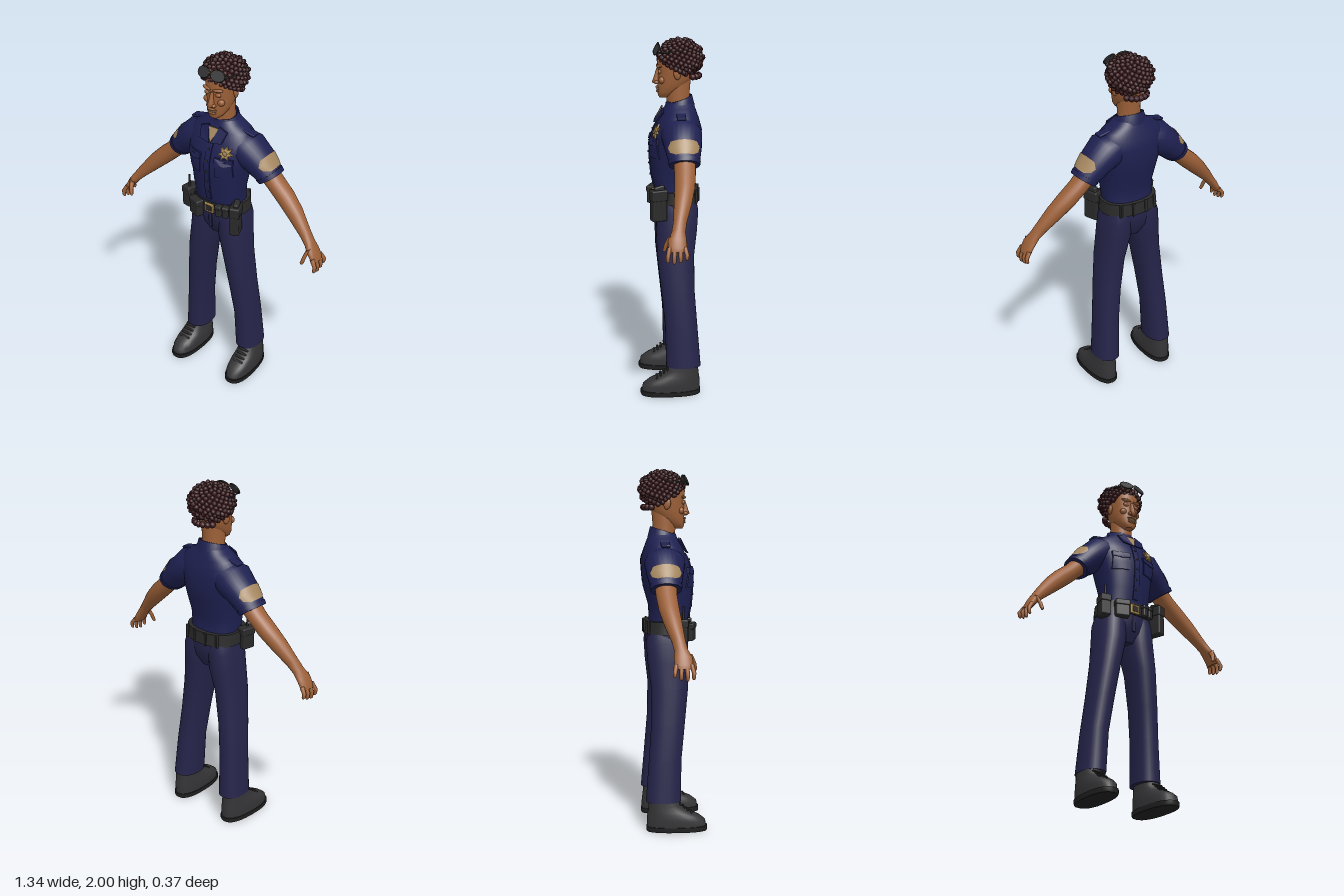
import * as THREE from 'three';
import { mergeGeometries } from 'three/addons/utils/BufferGeometryUtils.js';
import { RoundedBoxGeometry } from 'three/addons/geometries/RoundedBoxGeometry.js';

const mat = (name, color, side = THREE.FrontSide) => {
  const m = new THREE.MeshStandardMaterial({ color, side });
  m.name = name;
  return m;
};

// Ring: [x, y, z, halfWidth, halfDepth, tilt in degrees, half arc for open strips].
// Rings run from bottom to top; power below 1 makes them squarer.
function loft(rings, power = 1, n = 28, caps = true) {
  const pos = [], idx = [];
  const open = rings[0][6] !== undefined;
  const cols = open ? n + 1 : n;
  const bend = (v) => Math.sign(v) * Math.abs(v) ** power;
  for (const [x, y, z, a, b, tilt = 0, arc] of rings) {
    const t = tilt * Math.PI / 180;
    for (let j = 0; j < cols; j++) {
      const th = open ? (2 * j / n - 1) * arc : 2 * Math.PI * j / n;
      const u = a * bend(Math.cos(th));
      pos.push(x + u * Math.cos(t), y + u * Math.sin(t), z + b * bend(Math.sin(th)));
    }
  }
  for (let i = 0; i < rings.length - 1; i++) for (let j = 0; j < n; j++) {
    const p = i * cols + j, q = i * cols + (j + 1) % cols;
    idx.push(p, p + cols, q, q, p + cols, q + cols);
  }
  if (caps && !open) for (const i of [0, rings.length - 1]) {
    const base = pos.length / 3;
    pos.push(...pos.slice(i * n * 3, (i + 1) * n * 3), ...rings[i].slice(0, 3));
    for (let j = 0; j < n; j++) {
      const p = base + j, q = base + (j + 1) % n;
      if (i) idx.push(p, base + n, q); else idx.push(p, q, base + n);
    }
  }
  const g = new THREE.BufferGeometry();
  g.setAttribute('position', new THREE.Float32BufferAttribute(pos, 3));
  g.setIndex(idx);
  g.computeVertexNormals();
  return g;
}

const TORSO = [
  [0, 1.11, -0.025, 0.148, 0.117], [0, 1.18, -0.015, 0.145, 0.11], [0, 1.25, -0.01, 0.15, 0.12],
  [0, 1.35, -0.02, 0.165, 0.138], [0, 1.42, -0.025, 0.182, 0.143], [0, 1.5, -0.038, 0.2, 0.133],
  [0, 1.55, -0.045, 0.195, 0.112], [0, 1.59, -0.048, 0.163, 0.095], [0, 1.62, -0.05, 0.11, 0.082],
  [0, 1.65, -0.05, 0.075, 0.07]];
const TORSO_POWER = 0.85;

// Depth of the shirt front at a point, used to lay details on the chest.
function chestZ(x, y) {
  let i = 0;
  while (i < TORSO.length - 2 && y > TORSO[i + 1][1]) i++;
  const k = (y - TORSO[i][1]) / (TORSO[i + 1][1] - TORSO[i][1]);
  const at = (c) => THREE.MathUtils.lerp(TORSO[i][c], TORSO[i + 1][c], k);
  const r = Math.min(1, Math.abs(x) / at(3));
  return at(2) + at(4) * (1 - r ** (2 / TORSO_POWER)) ** (TORSO_POWER / 2);
}
function onChest(g, lift = 0) {
  const p = g.attributes.position;
  for (let i = 0; i < p.count; i++) p.setZ(i, p.getZ(i) + lift + chestZ(p.getX(i), p.getY(i)));
  g.computeVertexNormals();
  return g;
}
const plate = (pts, depth) => new THREE.ExtrudeGeometry(
  new THREE.Shape(pts.map((p) => new THREE.Vector2(...p))), { depth, bevelEnabled: false });

export function createModel() {
  const model = new THREE.Group();
  model.name = 'officer';
  const skin = mat('skin', 0x9c6038), hair = mat('hair', 0x3a1a1d);
  const shirt = mat('shirt navy', 0x1e2050), pants = mat('trouser navy', 0x25244a);
  const shoe = mat('shoe grey', 0x343436), leather = mat('black leather', 0x2a2a2b);
  const sole = mat('sole black', 0x202021);
  const tan = mat('patch tan', 0xa5875f, THREE.DoubleSide), gold = mat('badge gold', 0xa8874a);

  const add = (name, g, m, x = 0, y = 0, z = 0, rx = 0, ry = 0, rz = 0) => {
    const mesh = new THREE.Mesh(g, m);
    mesh.name = name;
    mesh.position.set(x, y, z);
    mesh.rotation.set(rx, ry, rz);
    model.add(mesh);
    return mesh;
  };
  // Adds a part on the left (+x) and its reflection on the right.
  const pair = (name, ...args) => {
    const left = add(name + 'Left', ...args);
    left.updateMatrix();
    let g = left.geometry.clone().applyMatrix4(left.matrix).scale(-1, 1, 1);
    if (g.index) g = g.toNonIndexed();
    for (const key of Object.keys(g.attributes)) {
      const a = g.attributes[key], s = a.itemSize;
      for (let i = 0; i < a.count; i += 3) for (let c = 0; c < s; c++) {
        const t = a.array[(i + 1) * s + c];
        a.array[(i + 1) * s + c] = a.array[(i + 2) * s + c];
        a.array[(i + 2) * s + c] = t;
      }
    }
    add(name + 'Right', g, left.material);
  };
  const box = (w, h, d, r = 0.008) => new RoundedBoxGeometry(w, h, d, 2, r);
  const ball = (x, y, z) => new THREE.SphereGeometry(1, 14, 10).scale(x, y, z);

  // Shirt body, sleeves and sleeve patches
  add('shirt', loft(TORSO, TORSO_POWER, 40), shirt);
  const cuff = [0.303, 1.357, -0.057, 0.066, 0.08, 35.5], upper = [0.225, 1.435, -0.055, 0.085, 0.1, 45];
  pair('sleeve', loft([cuff, upper, [0.15, 1.49, -0.05, 0.102, 0.112, 55], [0.08, 1.52, -0.05, 0.07, 0.09, 70]]), shirt);
  const onSleeve = (t, grow, ...arc) => [...cuff.map((v, i) =>
    THREE.MathUtils.lerp(v, upper[i], t) + (i === 3 || i === 4 ? grow : 0)), ...arc];
  pair('sleeveHem', loft([onSleeve(0, 0.004), onSleeve(0.22, 0.004)]), shirt);
  pair('sleevePatch', loft([onSleeve(0.32, 0.004, 0.55), onSleeve(0.5, 0.004, 0.95), onSleeve(0.75, 0.004, 1.05),
    onSleeve(0.98, 0.004, 0.75)]), tan);
  pair('epaulette', box(0.1, 0.014, 0.05, 0.005), shirt, 0.155, 1.594, -0.048, 0, 0, -0.2);

  // Collar, undershirt, placket, pockets and badge
  const collar = loft([[0, 1.6, -0.045, 0.098, 0.088], [0, 1.665, -0.045, 0.08, 0.072], [0, 1.665, -0.045, 0.07, 0.064],
    [0, 1.6, -0.045, 0.08, 0.07]], 1, 28, false);
  const cp = collar.attributes.position;
  for (let i = 0; i < cp.count; i++) cp.setY(i, cp.getY(i) - (cp.getZ(i) + 0.05) * 0.3);
  collar.computeVertexNormals();
  add('collar', collar, shirt);
  add('undershirt', onChest(plate([[0, 1.535], [0.034, 1.61], [-0.034, 1.61]], 0.006), 0.012), tan);
  pair('collarFlap', onChest(plate([[0.006, 1.535], [0.07, 1.545], [0.085, 1.6], [0.034, 1.62]], 0.009), 0.012), shirt);
  const panel = (w, h, d, x, y) => onChest(new THREE.BoxGeometry(w, h, d, 6, 4, 1).translate(x, y, 0));
  add('placket', onChest(new THREE.BoxGeometry(0.034, 0.35, 0.012, 2, 12, 1).translate(0, 1.36, 0)), shirt);
  for (let i = 0; i < 5; i++) {
    const y = 1.24 + i * 0.065;
    add('button', ball(0.006, 0.006, 0.004), leather, 0, y, chestZ(0, y) + 0.007);
  }
  pair('chestPocket', panel(0.092, 0.095, 0.012, 0.094, 1.4), shirt);
  pair('pocketFlap', onChest(plate([[0.045, 1.465], [0.045, 1.435], [0.094, 1.422], [0.143, 1.435], [0.143, 1.465]], 0.013)), shirt);
  const star = Array.from({ length: 14 }, (_, i) => {
    const r = i % 2 ? 0.02 : 0.04, t = i * Math.PI / 7;
    return [0.1 + r * Math.sin(t), 1.5 + r * Math.cos(t)];
  });
  add('starBadge', onChest(plate(star, 0.009), 0.002), gold);
  add('badgeCentre', ball(0.014, 0.014, 0.006), tan, 0.1, 1.5, chestZ(0.1, 1.5) + 0.011);

  // Arms, hands, fingers and thumbs
  pair('arm', loft([[0.645, 0.982, 0, 0.016, 0.042, 15], [0.637, 1.0, 0, 0.02, 0.048, 20], [0.614, 1.037, 0, 0.024, 0.048, 35],
    [0.587, 1.072, -0.008, 0.027, 0.036, 42], [0.55, 1.115, -0.018, 0.034, 0.036, 45], [0.475, 1.195, -0.038, 0.046, 0.048, 45],
    [0.405, 1.262, -0.052, 0.051, 0.055, 43], [0.335, 1.325, -0.058, 0.05, 0.057, 40], [0.27, 1.39, -0.058, 0.053, 0.06, 40]], 1, 20), skin);
  for (let i = 0; i < 4; i++) {
    const z = -0.038 + i * 0.026, drop = [0.02, 0.006, 0, 0.008][i], s = z * 0.25;
    pair('finger', loft([[0.655, 0.922 + drop, z + s, 0.005, 0.005, 0], [0.658, 0.93 + drop, z + s, 0.01, 0.01, 0],
      [0.661, 0.962 + drop / 2, z + s, 0.011, 0.0115, 10], [0.637, 1.005, z, 0.013, 0.013, 25]], 1, 10), skin);
  }
  pair('thumb', loft([[0.588, 0.968, 0.066, 0.005, 0.005], [0.589, 0.977, 0.065, 0.011, 0.01], [0.597, 1.01, 0.056, 0.013, 0.012, 15],
    [0.605, 1.05, 0.03, 0.016, 0.02, 35]], 1, 10), skin);

  // Trousers
  add('trouserSeat', loft([[0, 0.94, -0.03, 0.07, 0.075], [0, 1.0, -0.03, 0.15, 0.107], [0, 1.06, -0.03, 0.165, 0.118],
    [0, 1.13, -0.028, 0.155, 0.118]], 0.9), pants);
  pair('trouserLeg', loft([[0.18, 0.165, -0.062, 0.071, 0.098], [0.167, 0.4, -0.05, 0.067, 0.091], [0.145, 0.6, -0.032, 0.07, 0.094],
    [0.119, 0.8, -0.021, 0.075, 0.104], [0.095, 0.94, -0.027, 0.084, 0.115], [0.088, 1.05, -0.032, 0.082, 0.117],
    [0.08, 1.12, -0.03, 0.07, 0.105]], 0.88), pants);
  add('trouserFly', box(0.022, 0.1, 0.012, 0.004), pants, 0, 1.04, 0.086);

  // Shoes with soles and laces
  pair('shoeSole', loft([[0, 0, 0.012, 0.07, 0.168], [0, 0.008, 0.012, 0.073, 0.171], [0, 0.028, 0.012, 0.073, 0.171]], 0.8), sole, 0.193, 0, 0, 0, 0.04);
  pair('shoe', loft([[0, 0.028, 0.01, 0.069, 0.166], [0, 0.06, 0.007, 0.07, 0.163], [0, 0.085, -0.008, 0.068, 0.146],
    [0, 0.11, -0.034, 0.064, 0.116], [0, 0.145, -0.058, 0.058, 0.088], [0, 0.2, -0.063, 0.056, 0.08]], 0.85), shoe, 0.193, 0, 0, 0, 0.04);
  for (let i = 0; i < 4; i++)
    pair('shoeLace', box(0.066, 0.009, 0.012, 0.004), leather, 0.196, 0.103 + i * 0.016, 0.09 - i * 0.02, 0.6);

  // Belt, buckle and gear
  add('belt', loft([[0, 1.095, -0.03, 0.168, 0.128], [0, 1.165, -0.028, 0.162, 0.125]], 0.88, 40), leather);
  add('buckle', box(0.06, 0.056, 0.012, 0.005), gold, 0, 1.125, 0.1);
  add('buckleInset', box(0.04, 0.036, 0.012, 0.004), leather, 0, 1.125, 0.102);
  const pouch = (name, x, y, z, w, h, d, turn) => {
    add(name, box(w, h, d), leather, x, y, z, 0, turn);
    add(name + 'Flap', box(w + 0.006, h * 0.35, d + 0.008), leather, x, y + h * 0.33, z, 0, turn);
  };
  pouch('frontPouch', -0.088, 1.105, 0.098, 0.08, 0.1, 0.045, -0.35);
  pouch('magazinePouch', 0.065, 1.13, 0.102, 0.034, 0.07, 0.03, 0.1);
  pouch('secondMagazinePouch', 0.104, 1.13, 0.092, 0.034, 0.07, 0.03, 0.3);
  pouch('radio', -0.172, 1.12, 0.04, 0.055, 0.125, 0.075, -0.2);
  add('radioAntenna', new THREE.CylinderGeometry(0.005, 0.008, 0.1, 10), leather, -0.17, 1.205, 0.05);
  pouch('holster', 0.163, 1.1, 0.075, 0.052, 0.175, 0.085, 0.35);
  add('holsterGrip', box(0.03, 0.05, 0.06), leather, 0.165, 1.185, 0.07, 0.2, 0.35);
  for (const x of [-0.11, -0.04, 0.04, 0.11])
    add('beltKeeper', box(0.018, 0.078, 0.014, 0.004), leather, x, 1.13, -0.155 + Math.abs(x) ** 2 * 1.8, 0, x * 3);

  // Neck, head and face
  add('neck', loft([[0, 1.56, -0.045, 0.068, 0.07], [0, 1.64, -0.043, 0.062, 0.063], [0, 1.7, -0.038, 0.062, 0.066], [0, 1.77, -0.04, 0.06, 0.07]]), skin);
  add('head', loft([[0, 1.672, 0.04, 0.022, 0.022], [0, 1.683, 0.032, 0.038, 0.038], [0, 1.705, 0.018, 0.055, 0.054], [0, 1.74, -0.007, 0.068, 0.08],
    [0, 1.78, -0.022, 0.076, 0.094], [0, 1.83, -0.03, 0.081, 0.1], [0, 1.88, -0.027, 0.083, 0.104], [0, 1.93, -0.032, 0.075, 0.09],
    [0, 1.965, -0.035, 0.045, 0.055]], 0.92), skin);
  add('nose', loft([[0, 1.745, 0.07, 0.014, 0.016], [0, 1.755, 0.075, 0.022, 0.029], [0, 1.775, 0.073, 0.014, 0.023],
    [0, 1.83, 0.066, 0.009, 0.012]], 1, 14), skin);
  pair('nostril', ball(0.012, 0.01, 0.014), skin, 0.017, 1.756, 0.078);
  pair('brow', ball(0.03, 0.009, 0.012), skin, 0.036, 1.845, 0.066, 0, 0.25, 0.1);
  pair('eyelid', ball(0.019, 0.012, 0.01), skin, 0.034, 1.817, 0.062);
  pair('cheek', ball(0.022, 0.02, 0.018), skin, 0.044, 1.772, 0.05);
  add('upperLip', ball(0.03, 0.007, 0.013), skin, 0, 1.729, 0.07);
  add('lowerLip', ball(0.026, 0.008, 0.013), skin, 0, 1.707, 0.068);
  add('teeth', ball(0.027, 0.007, 0.009), tan, 0, 1.719, 0.07);
  pair('ear', ball(0.012, 0.032, 0.02), skin, 0.084, 1.81, -0.03, 0.15, 0.3);

  // Curly hair over a rounded cap
  add('hairCap', ball(0.106, 0.083, 0.11), hair, 0, 1.893, -0.055);
  const curls = [], count = 250, up = new THREE.Vector3(0, 1, 0);
  for (let i = 0; i < count; i++) {
    const h = 1 - 2 * (i + 0.5) / count, r = Math.sqrt(1 - h * h), t = i * 2.39996;
    const dir = new THREE.Vector3(r * Math.cos(t), h, r * Math.sin(t));
    const grow = 1 + 0.05 * Math.sin(i * 7.3);
    const p = new THREE.Vector3(0.112 * dir.x, 0.09 * dir.y, 0.112 * dir.z).multiplyScalar(grow).add(new THREE.Vector3(0, 1.887, -0.052));
    if (p.y < 1.805 + (p.z + 0.07) * 0.62) continue;
    const q = new THREE.Quaternion().setFromUnitVectors(up, dir);
    curls.push(new THREE.SphereGeometry(0.0155, 8, 6).scale(1, 1.35, 1).applyQuaternion(q).translate(p.x, p.y, p.z));
  }
  for (let i = 0; i < 7; i++) { // nape
    const t = (i / 6 - 0.5) * 2;
    curls.push(new THREE.SphereGeometry(0.018, 8, 6).translate(0.075 * Math.sin(t), 1.79, -0.07 - 0.085 * Math.cos(t)));
  }
  add('curls', mergeGeometries(curls), hair);

  // Sunglasses pushed up on the hair
  pair('sunglassLens', new THREE.CylinderGeometry(0.036, 0.036, 0.008, 24).rotateX(Math.PI / 2).scale(1.05, 0.8, 1), shoe, 0.044, 1.938, 0.078, -0.45, 0.2);
  pair('sunglassRim', new THREE.TorusGeometry(0.037, 0.004, 8, 24).scale(1.05, 0.8, 1), leather, 0.044, 1.938, 0.079, -0.45, 0.2);
  add('sunglassBridge', box(0.026, 0.006, 0.008, 0.003), gold, 0, 1.945, 0.083);
  pair('sunglassArm', box(0.006, 0.01, 0.12, 0.003), leather, 0.1, 1.93, 0.01, 0.1, -0.35);

  return model;
}
